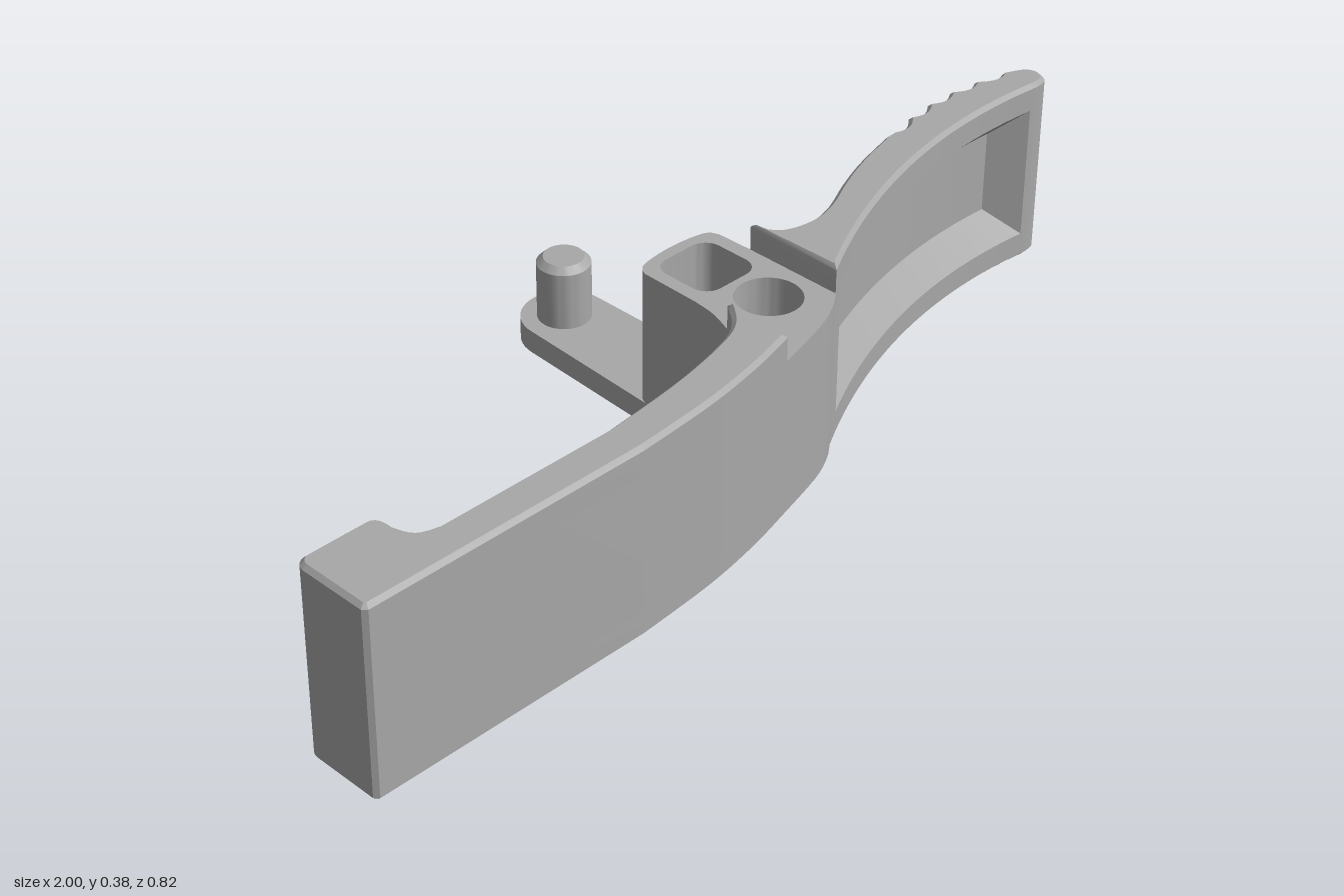
import * as THREE from 'three';
import { toCreasedNormals } from 'three/addons/utils/BufferGeometryUtils.js';

const BASE = 0.055, DECK = 0.33, TOP = 0.385, BEVEL = 0.008;

// Plan points are [x, z]
const curve = (pts, n = 24) =>
  new THREE.SplineCurve(pts.map(p => new THREE.Vector2(...p))).getPoints(n).map(v => [v.x, v.y]);
const sample = (f, a, b, n) =>
  Array.from({ length: n + 1 }, (_, i) => { const x = a + (b - a) * i / n; return [x, f(x)]; });
const arc = (cx, cz, r, a0, a1, n = 20) =>
  Array.from({ length: n + 1 }, (_, i) => {
    const a = a0 + (a1 - a0) * i / n;
    return [cx + r * Math.cos(a), cz + r * Math.sin(a)];
  });

// Joins plan segments into one closed shape, dropping repeated points
function outline(...segments) {
  const pts = segments.flat().filter((p, i, all) => {
    const q = all[(i + all.length - 1) % all.length];
    return Math.hypot(p[0] - q[0], p[1] - q[1]) > 1e-4;
  });
  return new THREE.Shape(pts.map(([x, z]) => new THREE.Vector2(x, -z)));
}

// Upright slab from y0 to y1, with an optional chamfer on its 'top' or 'bottom' rim
function slab(shape, y0, y1, chamfer) {
  const h = y1 - y0, depth = chamfer ? h - BEVEL : h;
  const geo = new THREE.ExtrudeGeometry(shape, {
    depth, bevelEnabled: !!chamfer, bevelSize: BEVEL, bevelThickness: BEVEL,
    bevelOffset: -BEVEL, bevelSegments: 1, curveSegments: 24,
  });
  const p = geo.attributes.position;
  for (let i = 0; i < p.count; i++) {
    const z = p.getZ(i);
    if (chamfer === 'top') p.setZ(i, Math.max(z, 0));
    if (chamfer === 'bottom') p.setZ(i, Math.min(z, depth) + BEVEL);
  }
  geo.rotateX(-Math.PI / 2).translate(0, y0, 0);
  return toCreasedNormals(geo, 0.5);
}

// Front face of the right arm and the recessed floor parallel to it
const frontZ = x => 0.085 + 0.446 * (0.83 - x) ** 2;
const floorZ = x => frontZ(x) - 0.053 * Math.hypot(1, 0.892 * (x - 0.83));
// Scalloped finger grip
const ribZ = x => -0.008 + 0.9 * (x - 0.79) ** 2
  + 0.014 * Math.abs(Math.sin(Math.PI * (x - 0.62) / 0.065));

export function createModel() {
  const group = new THREE.Group();
  const grey = new THREE.MeshStandardMaterial({ color: 0xa8a8a8 });
  grey.name = 'plain grey';
  const add = (name, geo) => {
    const mesh = new THREE.Mesh(geo, grey);
    mesh.name = name;
    group.add(mesh);
  };

  // Plan segments, running round the outline
  const leftFront = [[-0.992, 0.411],
    ...curve([[-0.42, 0.411], [-0.25, 0.397], [-0.12, 0.375], [-0.02, 0.35]])];
  const hubFront = curve([[-0.02, 0.35], [0.1, 0.317], [0.16, 0.29], [0.195, frontZ(0.195)]], 12);
  const rightFront = sample(frontZ, 0.195, 0.955, 40);
  const pocketFront = [...sample(frontZ, 0.195, 0.23, 3),
    ...sample(floorZ, 0.26, 0.885, 36), ...sample(frontZ, 0.94, 0.955, 2)];
  const tip = curve([[0.955, frontZ(0.955)], [0.984, 0.086], [0.997, 0.06], [0.985, 0.033], [0.945, ribZ(0.945)]], 16);
  const ribs = sample(ribZ, 0.945, 0.62, 50);
  const rightBack = curve([[0.6, 0.02], [0.5, 0.047], [0.42, 0.077], [0.34, 0.113],
    [0.28, 0.124], [0.22, 0.108], [0.195, 0.06]], 36);
  const hubBack = [...curve([[0.193, -0.015], [0.175, -0.037], [0.1, -0.046],
    [0.025, -0.037], [0.005, -0.015]], 20)];
  const hubSide = curve([[0.003, 0.11], [-0.003, 0.16], [-0.02, 0.21]], 10);
  const leftBack = curve([[-0.02, 0.21], [-0.06, 0.258], [-0.12, 0.285], [-0.25, 0.313], [-0.42, 0.333]]);
  const hook = [...curve([[-0.785, 0.333], [-0.82, 0.32], [-0.835, 0.285]], 10),
    ...arc(-0.86, 0.27, 0.025, 0, -Math.PI / 2, 8),
    ...arc(-0.975, 0.27, 0.025, -Math.PI / 2, -Math.PI, 8), [-1, 0.403]];
  const lever = [[0.193, -0.015], ...arc(0.105, -0.328, 0.085, 0, -Math.PI), [0.004, 0]];

  const pivotHole = () => new THREE.Path().absarc(0.105, -0.19, 0.062, 0, Math.PI * 2, true);
  const socket = new THREE.Path(
    [[1, 1], [-1, 1], [-1, -1], [1, -1]].flatMap(([sx, sz], i) =>
      arc(0.098 + sx * 0.033, 0.045 + sz * 0.033, 0.034, i * Math.PI / 2, (i + 1) * Math.PI / 2, 8))
      .map(([x, z]) => new THREE.Vector2(x, -z)));

  // Bottom layer, including the lever
  const base = outline(leftFront, hubFront, rightFront, tip, ribs, rightBack, lever, hubSide, leftBack, hook);
  base.holes.push(pivotHole());
  add('baseAndLever', slab(base, 0, BASE, 'bottom'));

  // Middle layer: both arms and the hub, set back where the recess lies
  const body = outline(leftFront, hubFront, pocketFront, tip, ribs, rightBack, hubBack, hubSide, leftBack, hook);
  body.holes.push(pivotHole(), socket);
  add('armsAndHub', slab(body, BASE, DECK));

  // Raised upper rims of the arms either side of the hub
  add('hookArmRim', slab(outline(leftFront, leftBack, hook), DECK, TOP, 'top'));
  add('gripArmRim', slab(outline(rightFront, tip, ribs, rightBack), DECK, TOP, 'top'));

  // Sloping upper and lower walls of the recess
  for (const [name, outerV, outerY, innerY] of [
    ['recessLowerSlope', 0, BASE, 0.11], ['recessUpperSlope', 1, DECK, 0.278]]) {
    const geo = new THREE.PlaneGeometry(1, 1, 36, 1);
    const { position: p, uv } = geo.attributes;
    for (let i = 0; i < p.count; i++) {
      const outer = Math.round(uv.getY(i)) === outerV;
      const x = outer ? THREE.MathUtils.lerp(0.23, 0.94, uv.getX(i)) : THREE.MathUtils.lerp(0.26, 0.885, uv.getX(i));
      p.setXYZ(i, x, outer ? outerY : innerY, outer ? frontZ(x) : floorZ(x));
    }
    geo.computeVertexNormals();
    add(name, geo);
  }

  // Chamfered pin on the lever
  const pin = new THREE.LatheGeometry(
    [[0.052, BASE - 0.01], [0.052, 0.172], [0.039, 0.185], [0, 0.185]].map(p => new THREE.Vector2(...p)), 40);
  add('pin', toCreasedNormals(pin.translate(0.105, 0, -0.33), 0.5));

  return group;
}
